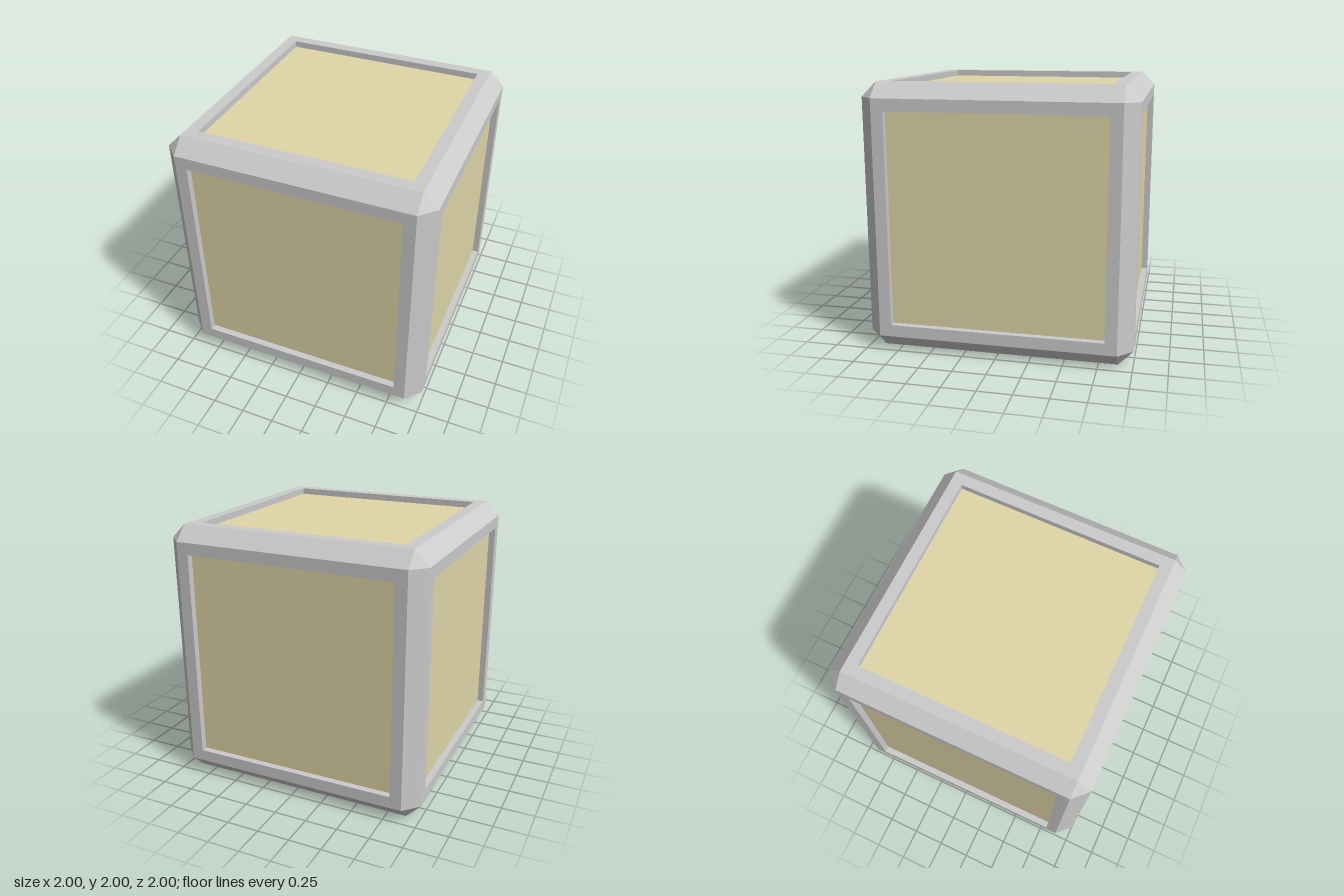
import * as THREE from 'three';
import { mergeGeometries } from 'three/addons/utils/BufferGeometryUtils.js';

const HALF = 1;       // half the cube's size
const FLAT = 0.89;    // half-width of each flat face inside the bevels
const PANEL = 0.8;    // half-width of the panel opening
const FLOOR = 0.95;   // distance of the recessed panel from the centre

// Square rim with the inner walls of the recess, facing +z
function rimGeometry() {
  const r = Math.SQRT2;
  const profile = [[FLAT, HALF], [PANEL, HALF], [PANEL, FLOOR]]
    .map(([w, h]) => new THREE.Vector2(w * r, h));
  const geo = new THREE.LatheGeometry(profile, 4, Math.PI / 4).toNonIndexed();
  geo.rotateX(Math.PI / 2);
  geo.computeVertexNormals();
  return geo;
}

// Twelve chamfer strips, four around each axis
function bevelGeometry() {
  const strips = [];
  for (let axis = 0; axis < 3; axis++) {
    for (let k = 0; k < 4; k++) {
      const strip = new THREE.PlaneGeometry(2 * FLAT, (HALF - FLAT) * Math.SQRT2);
      strip.translate(0, 0, (HALF + FLAT) / Math.SQRT2);
      strip.rotateX(Math.PI / 4 + k * Math.PI / 2);
      if (axis === 1) strip.rotateZ(Math.PI / 2);
      if (axis === 2) strip.rotateY(Math.PI / 2);
      strips.push(strip);
    }
  }
  return mergeGeometries(strips);
}

// Eight triangles that close the corners
function cornerGeometry() {
  const pos = [];
  for (const x of [-1, 1]) for (const y of [-1, 1]) for (const z of [-1, 1]) {
    const tri = [
      [HALF * x, FLAT * y, FLAT * z],
      [FLAT * x, HALF * y, FLAT * z],
      [FLAT * x, FLAT * y, HALF * z],
    ];
    if (x * y * z < 0) tri.reverse();
    pos.push(...tri.flat());
  }
  const geo = new THREE.BufferGeometry();
  geo.setAttribute('position', new THREE.Float32BufferAttribute(pos, 3));
  geo.computeVertexNormals();
  return geo;
}

export function createModel() {
  const model = new THREE.Group();
  model.name = 'panelledCube';
  const grey = new THREE.MeshStandardMaterial({ color: 0xcccccc, flatShading: true });
  const tan = new THREE.MeshStandardMaterial({ color: 0xe0d6a8, flatShading: true });

  const add = (parent, name, geo, mat) => {
    const mesh = new THREE.Mesh(geo, mat);
    mesh.name = name;
    parent.add(mesh);
  };

  const cube = new THREE.Group();
  cube.name = 'cube';
  cube.position.y = HALF;
  model.add(cube);

  add(cube, 'bevelEdges', bevelGeometry(), grey);
  add(cube, 'bevelCorners', cornerGeometry(), grey);

  // Six identical sides: rim and recessed panel
  const rim = rimGeometry();
  const panel = new THREE.PlaneGeometry(2 * PANEL, 2 * PANEL).translate(0, 0, FLOOR);
  const q = Math.PI / 2;
  const sides = {
    front: [0, 0], left: [0, q], back: [0, 2 * q], right: [0, -q], top: [-q, 0], bottom: [q, 0],
  };
  for (const [name, [rx, ry]] of Object.entries(sides)) {
    const side = new THREE.Group();
    side.name = name + 'Side';
    side.rotation.set(rx, ry, 0);
    add(side, name + 'Rim', rim, grey);
    add(side, name + 'Panel', panel, tan);
    cube.add(side);
  }
  return model;
}
